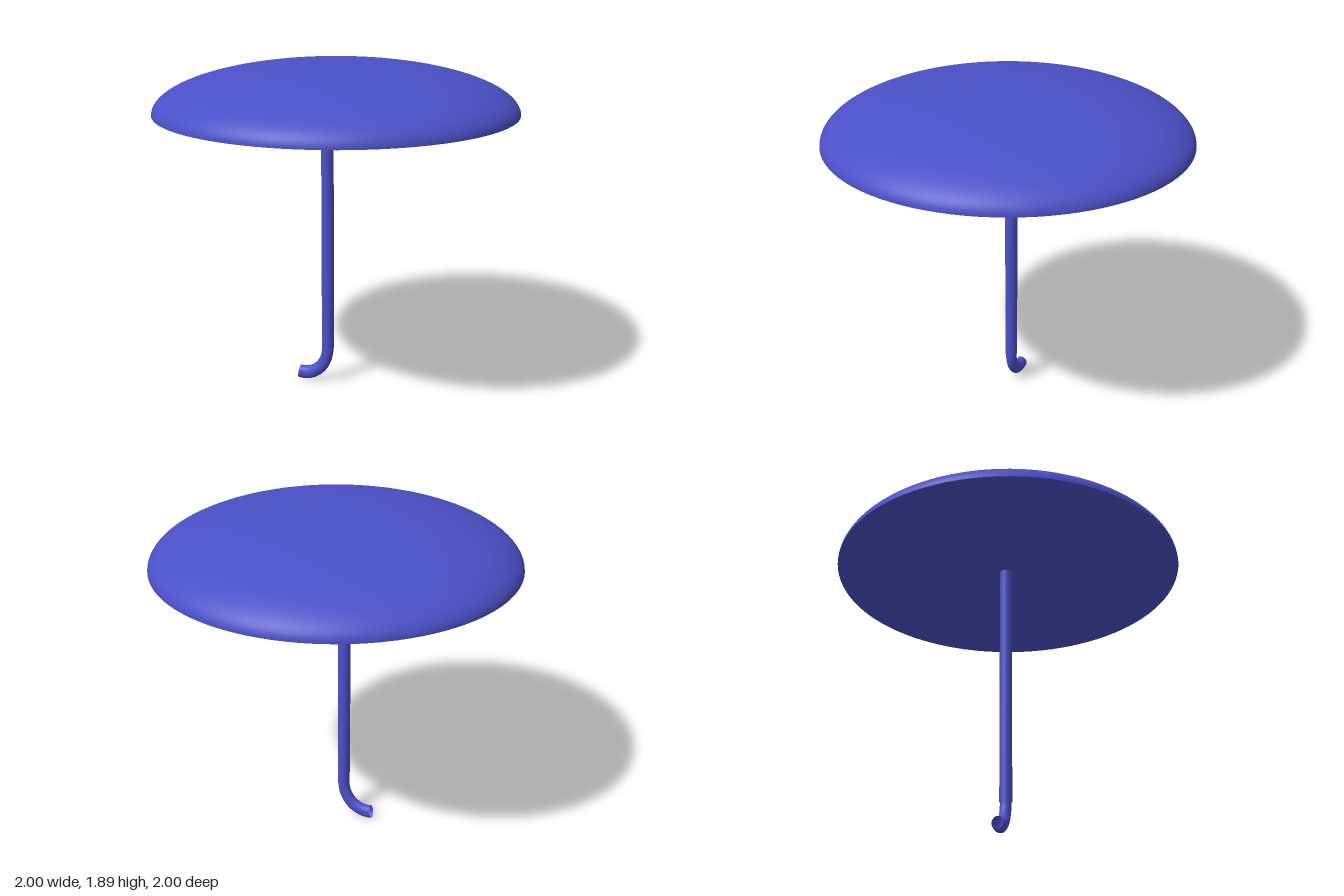
import * as THREE from 'three';

export function createModel() {
  const group = new THREE.Group();
  const material = new THREE.MeshStandardMaterial({ color: 0x4a50c8, side: THREE.DoubleSide });
  const add = (name, geometry, x, y) => {
    const mesh = new THREE.Mesh(geometry, material);
    mesh.name = name;
    mesh.position.set(x, y, 0);
    group.add(mesh);
  };

  const rimY = 1.625;
  const poleX = -0.05;
  const poleBottom = 0.21;

  // Canopy: flattened half sphere closed by a flat disc
  const dome = new THREE.SphereGeometry(1, 96, 32, 0, Math.PI * 2, 0, Math.PI / 2);
  dome.scale(1, 0.265, 1);
  add('canopy', dome, 0, rimY);
  const disc = new THREE.CircleGeometry(1, 96);
  disc.rotateX(Math.PI / 2);
  add('canopyUnderside', disc, 0, rimY);

  // Straight pole
  const length = rimY - poleBottom;
  add('pole', new THREE.CylinderGeometry(0.035, 0.035, length, 32), poleX, poleBottom + length / 2);

  // Curved handle: open stretched ring section, slightly past a quarter turn
  const arc = THREE.MathUtils.degToRad(100);
  const hook = new THREE.TorusGeometry(1, 0.23, 24, 40, arc);
  hook.rotateZ(-arc);
  hook.scale(0.149, 0.171, 0.135);
  add('handle', hook, -0.2, poleBottom);

  return group;
}
